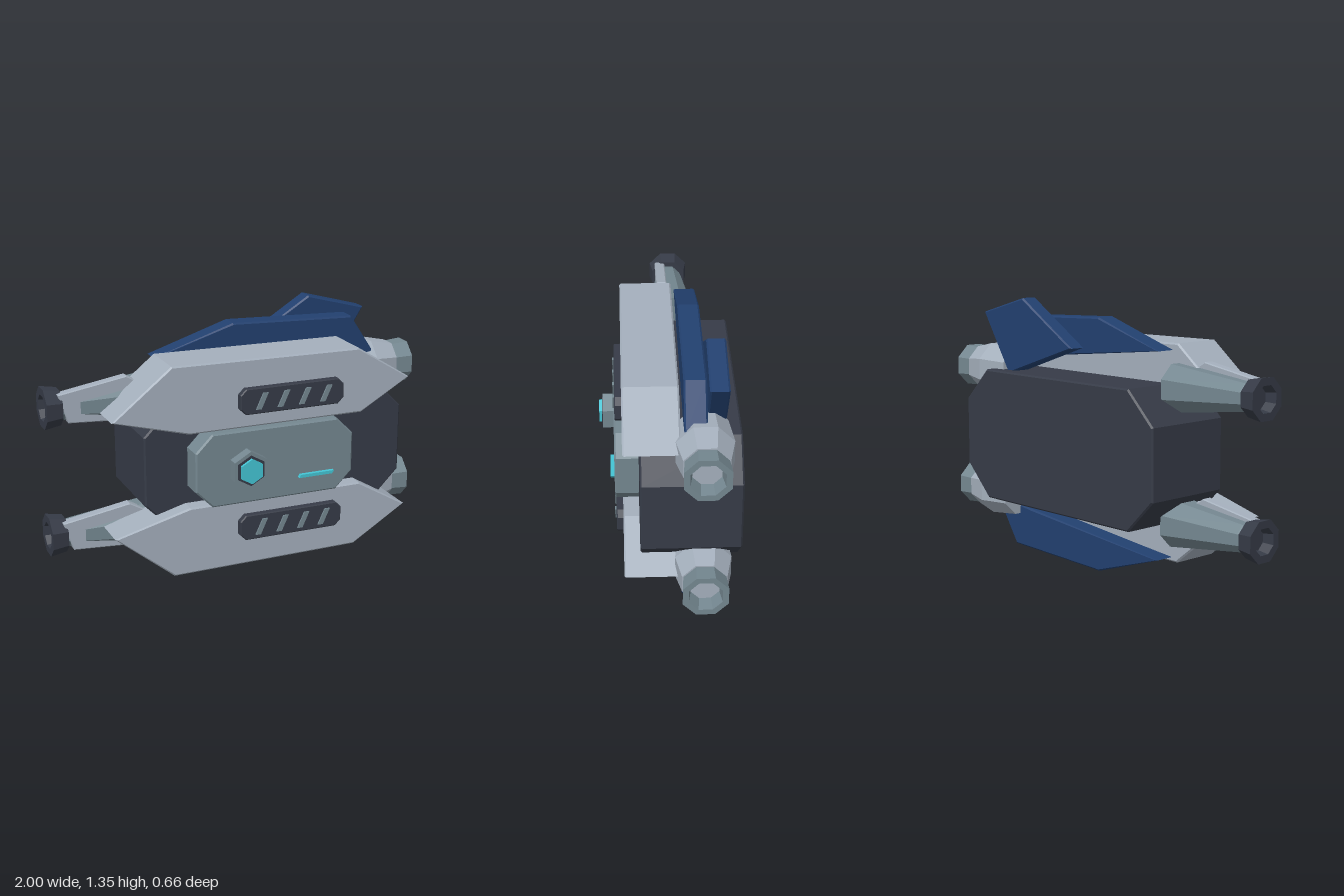
import * as THREE from 'three';

const paint = (name, color) => {
  const m = new THREE.MeshStandardMaterial({ color, flatShading: true });
  m.name = name;
  return m;
};

export function createModel() {
  const light = paint('light grey', 0xa4afbc);
  const steel = paint('steel grey', 0x748790);
  const dark = paint('dark grey', 0x363b47);
  const blue = paint('navy blue', 0x22406f);
  const cyan = paint('cyan glow', 0x44c4d4);

  const group = new THREE.Group();
  const MID = 0.642; // height of the mirror plane
  const add = (name, geometry, material) => {
    const mesh = new THREE.Mesh(geometry, material);
    mesh.name = name;
    group.add(mesh);
    return mesh;
  };

  // Plate with an outline in x/y, reaching from z0 to z1, with a small bevel
  const plate = (name, material, outline, z0, z1, bevel = 0.008) => {
    const shape = new THREE.Shape(outline.map(([x, y]) => new THREE.Vector2(x, y)));
    const geo = new THREE.ExtrudeGeometry(shape, {
      depth: z1 - z0 - 2 * bevel, bevelEnabled: bevel > 0, bevelSize: bevel,
      bevelThickness: bevel, bevelOffset: -bevel, bevelSegments: 1,
    });
    geo.translate(0, 0, z0 + bevel);
    return add(name, geo, material);
  };
  const flip = (outline) => outline.map(([x, y]) => [x, 2 * MID - y]);
  const shift = (outline, dx, dy) => outline.map(([x, y]) => [x + dx, y + dy]);
  const octagon = (x0, x1, y0, y1, c) => [
    [x0 + c, y0], [x1 - c, y0], [x1, y0 + c], [x1, y1 - c],
    [x1 - c, y1], [x0 + c, y1], [x0, y1 - c], [x0, y0 + c],
  ];

  // Eight-sided turned part along x; points are [radius at the flats, distance]
  const turned = (name, material, points, side, y, z) => {
    const k = 1 / Math.cos(Math.PI / 8);
    const geo = new THREE.LatheGeometry(
      points.map(([r, d]) => new THREE.Vector2(r * k, d)), 8, Math.PI / 8);
    geo.rotateZ(-side * Math.PI / 2);
    geo.translate(0, y, z);
    return add(name, geo, material);
  };

  // Main body and front panel
  plate('body', dark, octagon(-0.56, 0.83, 0.30, 0.98, 0.165), -0.33, 0.14);
  plate('frontPanel', steel, octagon(-0.34, 0.5, 0.455, 0.83, 0.088), 0.13, 0.255);

  // Armour shells and blue wing plates, mirrored above and below
  const armour = [[-0.74, 0.934], [-0.355, 0.83], [0.565, 0.83], [0.832, 0.986],
    [0.543, 1.165], [-0.44, 1.176]];
  const wing = [[-0.43, 1.145], [0.5, 1.05], [0.73, 1.02], [0.77, 1.06],
    [0.64, 1.256], [-0.013, 1.28]];
  plate('upperArmour', light, armour, -0.045, 0.217);
  plate('lowerArmour', light, flip(armour), -0.045, 0.217);
  plate('upperWing', blue, wing, -0.165, -0.06);
  plate('lowerWing', blue, flip(wing), -0.165, -0.06);

  // Single swept fin at the top back
  plate('tailFin', blue, [[0.08, 1.125], [0.57, 0.96], [0.765, 1.27], [0.45, 1.356]], -0.26, -0.17);

  for (const [label, y] of [['upper', 0.967], ['lower', 0.316]]) {
    // Large engine with an open nozzle
    turned(label + 'EngineHousing', light,
      [[0, 0.6], [0.115, 0.6], [0.132, 0.78], [0.105, 0.908], [0, 0.908]], 1, y, -0.153);
    turned(label + 'EngineNozzle', steel,
      [[0.098, 0.9], [0.1, 0.92], [0.106, 1], [0.078, 1], [0.066, 0.93]], 1, y, -0.153);
    turned(label + 'EngineCore', light, [[0.07, 0.931], [0, 0.931]], 1, y, -0.153);

    // Slim barrel with a dark muzzle at the other end
    turned(label + 'Barrel', steel,
      [[0, 0.45], [0.116, 0.45], [0.065, 0.89], [0.055, 0.94], [0, 0.94]], -1, y, -0.05);
    turned(label + 'Muzzle', dark,
      [[0, 0.918], [0.085, 0.918], [0.098, 1], [0.062, 1], [0.052, 0.945], [0, 0.945]],
      -1, y, -0.05);
    plate(label + 'BarrelGuard', light, shift([[-0.94, 0.075], [-0.89, -0.07],
      [-0.5, -0.095], [-0.42, 0.03], [-0.6, 0.132]], 0, y), -0.03, 0.022, 0.005);

    // Vent with slanted slats
    plate(label + 'Vent', dark, octagon(-0.105, 0.447, y - 0.064, y + 0.066, 0.03), 0.21, 0.25, 0.005);
    for (let i = 0; i < 4; i++) {
      plate(label + 'VentSlat', steel, shift([[-0.032, -0.04], [-0.005, -0.04],
        [0.032, 0.04], [0.005, 0.04]], 0.006 + 0.114 * i, y), 0.25, 0.258, 0);
    }
  }

  // Hexagonal lamp on the front panel
  const hexagon = (name, material, radius, z0, z1) => {
    const geo = new THREE.CylinderGeometry(radius, radius, z1 - z0, 6);
    geo.rotateX(Math.PI / 2);
    geo.translate(-0.077, MID, (z0 + z1) / 2);
    add(name, geo, material);
  };
  hexagon('lampHousing', steel, 0.097, 0.25, 0.312);
  hexagon('lampRing', dark, 0.078, 0.31, 0.316);
  hexagon('lamp', cyan, 0.064, 0.31, 0.33);

  // Slim light strip
  plate('lightStrip', cyan, [[0.2, 0.55], [0.38, 0.55], [0.39, 0.566], [0.208, 0.566]], 0.25, 0.275, 0);

  return group;
}
